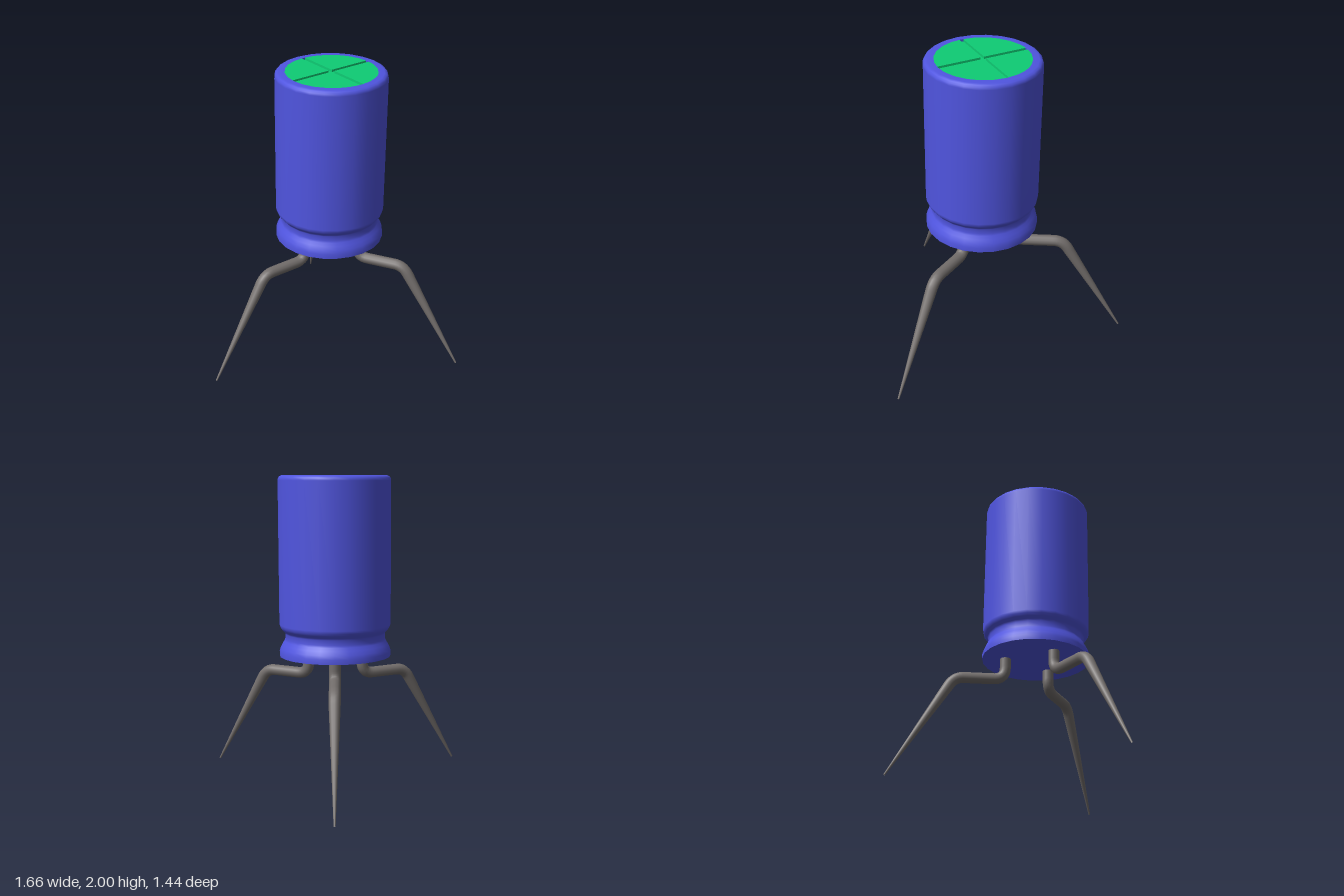
import * as THREE from 'three';

const BODY_Z = -0.24; // body axis is set back so the tripod is centred
const SIDES = 24;

const mat = (color, side = THREE.FrontSide) => new THREE.MeshStandardMaterial({ color, side });

function addMesh(parent, name, geometry, material) {
  const mesh = new THREE.Mesh(geometry, material);
  mesh.name = name;
  parent.add(mesh);
  return mesh;
}

// Wire leg: straight down, bent outwards, bent down again and tapered to a point
function legGeometry() {
  const p = (r, y) => new THREE.Vector3(0, y, r);
  const path = new THREE.CurvePath();
  path.add(new THREE.LineCurve3(p(0.205, 0.85), p(0.205, 0.77)));
  path.add(new THREE.QuadraticBezierCurve3(p(0.205, 0.77), p(0.205, 0.69), p(0.285, 0.69)));
  path.add(new THREE.LineCurve3(p(0.285, 0.69), p(0.48, 0.69)));
  path.add(new THREE.QuadraticBezierCurve3(p(0.48, 0.69), p(0.54, 0.69), p(0.575, 0.632)));
  path.add(new THREE.LineCurve3(p(0.575, 0.632), p(0.955, 0.004)));

  const rings = 64, around = 12, taperStart = 0.575, tipR = 0.955;
  const geo = new THREE.TubeGeometry(path, rings, 0.037, around, false);
  const pos = geo.attributes.position;
  const v = new THREE.Vector3();
  for (let i = 0; i <= rings; i++) {
    const c = path.getPointAt(i / rings);
    const t = THREE.MathUtils.clamp((c.z - taperStart) / (tipR - taperStart), 0, 1);
    const s = THREE.MathUtils.lerp(1, 0.16, t);
    for (let j = 0; j <= around; j++) {
      const k = i * (around + 1) + j;
      v.fromBufferAttribute(pos, k).sub(c).multiplyScalar(s).add(c);
      pos.setXYZ(k, v.x, v.y, v.z);
    }
  }
  return geo;
}

// Quarter of the top plate, leaving half a groove on both straight sides
function quadrantGeometry(radius, halfGap, depth) {
  const a = Math.asin(halfGap / radius);
  const shape = new THREE.Shape();
  shape.moveTo(halfGap, halfGap);
  shape.lineTo(radius * Math.cos(a), halfGap);
  shape.absarc(0, 0, radius, a, Math.PI / 2 - a, false);
  shape.lineTo(halfGap, halfGap);
  return new THREE.ExtrudeGeometry(shape, { depth, bevelEnabled: false, curveSegments: SIDES / 4 })
    .rotateX(-Math.PI / 2);
}

export function createModel() {
  const model = new THREE.Group();
  model.name = 'capacitor';
  const blue = mat(0x5055e0);
  const green = mat(0x0ecc74);
  const grey = mat(0x736e6c, THREE.DoubleSide);

  const body = new THREE.Group();
  body.name = 'body';
  body.position.z = BODY_Z;
  model.add(body);

  // Sleeve with crimped neck and rounded top rim
  const profile = [
    [0.363, 0.835], [0.363, 0.866], [0.355, 0.89], [0.343, 0.915], [0.33, 0.935], [0.325, 0.95],
    [0.325, 0.982], [0.333, 0.995], [0.348, 1.01], [0.359, 1.026], [0.363, 1.045],
    [0.363, 1.968], [0.36, 1.983], [0.351, 1.994], [0.336, 2], [0.297, 2],
  ].map(([r, y]) => new THREE.Vector2(r, y));
  addMesh(body, 'sleeve', new THREE.LatheGeometry(profile, SIDES), blue);
  addMesh(body, 'base', new THREE.CircleGeometry(0.363, SIDES).rotateX(Math.PI / 2), blue)
    .position.y = 0.835;

  // Top plate: recessed floor, inner wall and four raised quadrants
  const R = 0.297, depth = 0.015;
  addMesh(body, 'grooveFloor', new THREE.CircleGeometry(R, SIDES).rotateX(-Math.PI / 2), green)
    .position.y = 2 - depth;
  addMesh(body, 'rimWall', new THREE.CylinderGeometry(R, R, depth, SIDES, 1, true), mat(0x5055e0, THREE.BackSide))
    .position.y = 2 - depth / 2;
  const quadrant = quadrantGeometry(R, 0.013, depth);
  for (let i = 0; i < 4; i++) {
    const q = addMesh(body, 'topQuadrant', quadrant, green);
    q.position.y = 2 - depth;
    q.rotation.y = i * Math.PI / 2;
  }

  // Three legs spread evenly, one facing the front
  const leg = legGeometry();
  for (let i = 0; i < 3; i++) {
    addMesh(body, 'leg', leg, grey).rotation.y = i * Math.PI * 2 / 3;
  }
  return model;
}
